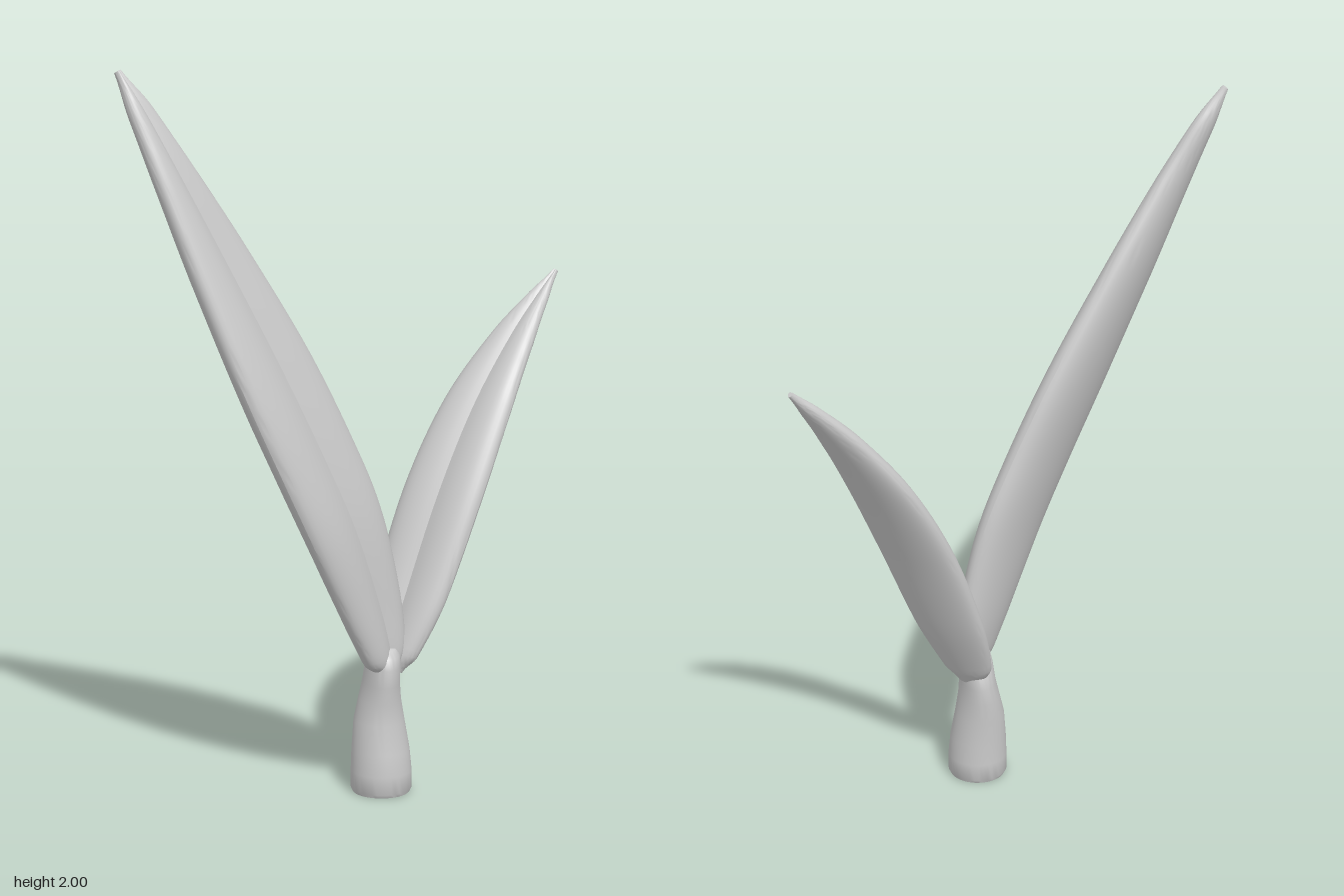
import * as THREE from 'three';
import { toCreasedNormals } from 'three/addons/utils/BufferGeometryUtils.js';

const material = new THREE.MeshStandardMaterial({ color: 0xcccccc });

// Skin a list of closed rings (counter-clockwise about the travel direction) and cap both ends.
function loft(rings, crease) {
  const n = rings[0].length, pos = [], index = [];
  rings.forEach(r => r.forEach(p => pos.push(p.x, p.y, p.z)));
  for (let i = 0; i < rings.length - 1; i++) {
    for (let j = 0; j < n; j++) {
      const a = i * n + j, b = i * n + (j + 1) % n;
      index.push(a, b, a + n, b, b + n, a + n);
    }
  }
  [0, rings.length - 1].forEach((i, end) => {
    const c = new THREE.Vector3();
    rings[i].forEach(p => c.addScaledVector(p, 1 / n));
    const k = pos.length / 3;
    pos.push(c.x, c.y, c.z);
    for (let j = 0; j < n; j++) {
      const a = i * n + j, b = i * n + (j + 1) % n;
      if (end) index.push(a, b, k);
      else index.push(b, a, k);
    }
  });
  const g = new THREE.BufferGeometry();
  g.setAttribute('position', new THREE.Float32BufferAttribute(pos, 3));
  g.setIndex(index);
  return toCreasedNormals(g, crease);
}

// Leaf from stations [x, y, z, halfWidth]: convex underside, two soft lobes and a midrib groove on top.
function leaf(name, stations, across, top, belly) {
  const spine = new THREE.CatmullRomCurve3(stations.map(s => new THREE.Vector3(s[0], s[1], s[2])));
  const widths = new THREE.SplineCurve(stations.map((s, i) => new THREE.Vector2(i, s[3])));
  const widest = Math.max(...stations.map(s => s[3]));
  const rings = [], steps = 48, sides = 40;
  for (let i = 0; i <= steps; i++) {
    const t = i / steps;
    const c = spine.getPoint(t), dir = spine.getTangent(t);
    const w = Math.max(0.004, widths.getPoint(t).y);
    const thick = Math.min(1, (w / widest) ** 0.6);
    const side = across.clone().addScaledVector(dir, -across.dot(dir)).normalize();
    const up = new THREE.Vector3().crossVectors(dir, side);
    const ring = [];
    for (let j = 0; j < sides; j++) {
      const a = j / sides * Math.PI * 2, s = Math.cos(a), h = Math.sin(a);
      const lobes = 1 - 0.55 * (1 - Math.abs(s)) ** 2;
      const y = thick * (h > 0 ? top * h * lobes : belly * h);
      ring.push(c.clone().addScaledVector(side, s * w).addScaledVector(up, y));
    }
    rings.push(ring);
  }
  const mesh = new THREE.Mesh(loft(rings, 0.4), material);
  mesh.name = name;
  return mesh;
}

// Stem from stations [y, centreX, centreZ, diagonal radius, cross radius]: round foot, pinched neck, domed top.
function stem() {
  const stations = [
    [0, 0.142, 0.045, 0.08, 0.079], [0.01, 0.142, 0.045, 0.086, 0.084],
    [0.06, 0.142, 0.045, 0.087, 0.084], [0.12, 0.139, 0.044, 0.085, 0.08],
    [0.2, 0.131, 0.04, 0.081, 0.07], [0.26, 0.131, 0.037, 0.084, 0.058],
    [0.31, 0.135, 0.036, 0.088, 0.05], [0.36, 0.141, 0.037, 0.086, 0.047],
    [0.39, 0.146, 0.04, 0.072, 0.043], [0.408, 0.148, 0.042, 0.05, 0.031],
    [0.415, 0.148, 0.042, 0.02, 0.014],
  ];
  const k = Math.SQRT1_2, sides = 40;
  const rings = stations.map(([y, cx, cz, a, b]) => Array.from({ length: sides }, (_, j) => {
    const q = j / sides * Math.PI * 2, u = a * Math.cos(q) * k, v = b * Math.sin(q) * k;
    return new THREE.Vector3(cx + u + v, y, cz + u - v);
  }));
  const mesh = new THREE.Mesh(loft(rings, 0.8), material);
  mesh.name = 'stem';
  return mesh;
}

export function createModel() {
  const group = new THREE.Group();
  group.name = 'sprout';

  group.add(stem());

  // Tall leaf leaning forward
  group.add(leaf('tallLeaf', [
    [0.164, 0.335, 0.042, 0.03], [0.161, 0.39, 0.052, 0.088], [0.147, 0.5, 0.077, 0.124],
    [0.11, 0.75, 0.158, 0.168], [0.062, 0.95, 0.233, 0.178], [-0.013, 1.2, 0.323, 0.17],
    [-0.114, 1.5, 0.43, 0.127], [-0.202, 1.75, 0.517, 0.077], [-0.264, 1.9, 0.562, 0.042],
    [-0.308, 1.995, 0.592, 0.008],
  ], new THREE.Vector3(0.08, 0, 1), 0.06, 0.075));

  // Short leaf leaning backward
  group.add(leaf('shortLeaf', [
    [0.13, 0.33, -0.003, 0.045], [0.132, 0.375, -0.02, 0.08], [0.148, 0.53, -0.085, 0.116],
    [0.18, 0.8, -0.2, 0.126], [0.212, 1.03, -0.325, 0.108], [0.25, 1.215, -0.452, 0.067],
    [0.276, 1.32, -0.54, 0.031], [0.292, 1.383, -0.598, 0.007],
  ], new THREE.Vector3(-1, 0, 0), 0.05, 0.046));

  return group;
}
